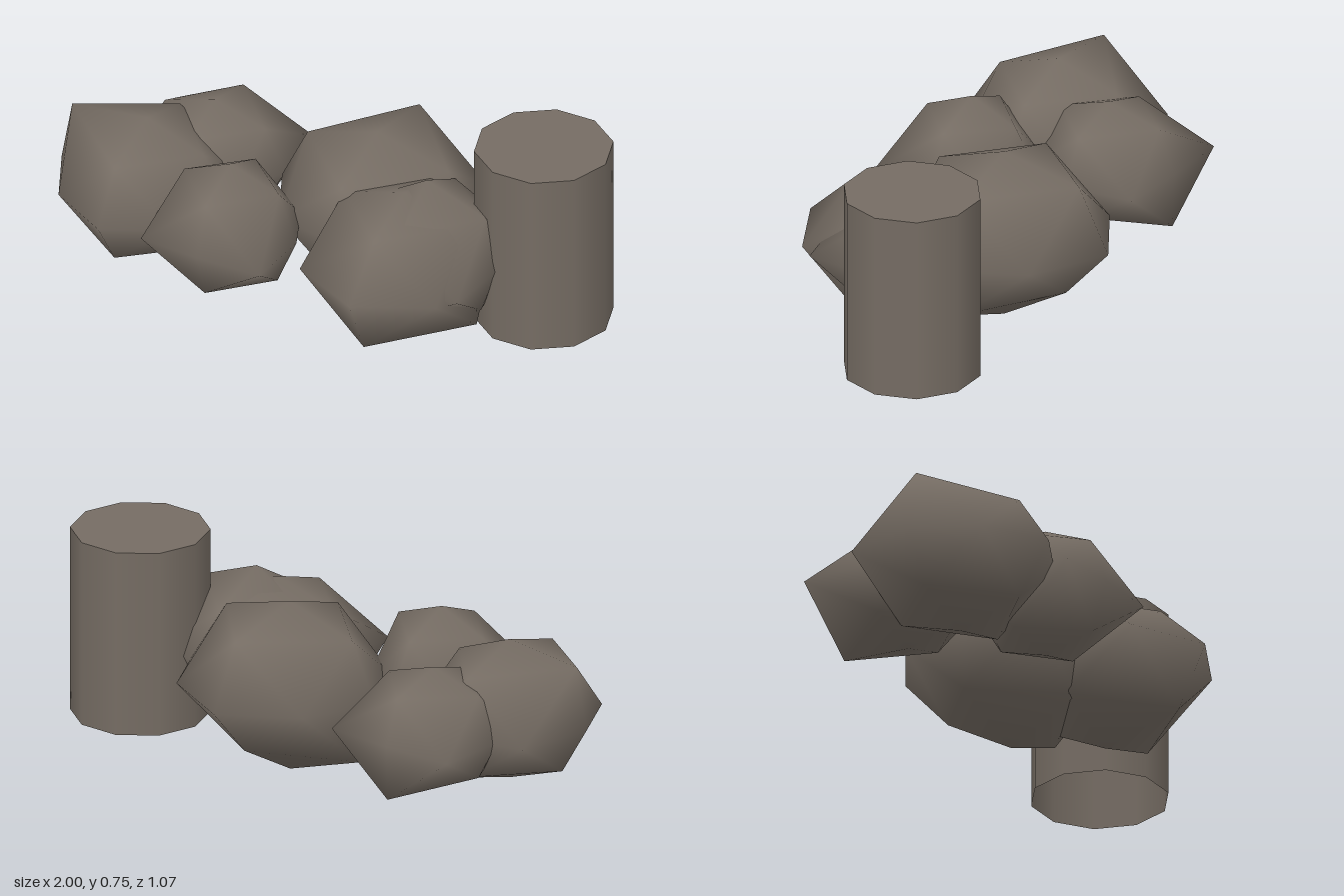
import * as THREE from 'three';
import { mergeVertices } from 'three/addons/utils/BufferGeometryUtils.js';

// Names of the 18 rock corners (six tips, twelve in between), as signs of x, y, z
const CORNERS = ['+00', '-00', '0+0', '0-0', '00+', '00-',
  '++0', '+-0', '-+0', '--0', '0++', '0+-', '0-+', '0--',
  '+0+', '+0-', '-0+', '-0-'];

const sign = (v) => (v > 0.1 ? '+' : v < -0.1 ? '-' : '0');

// Boulder: an 18-corner ball, flattened, with each corner pushed in or out
function rockGeometry(radius, height, push) {
  let geo = new THREE.OctahedronGeometry(1, 1);
  geo.deleteAttribute('uv');
  geo.deleteAttribute('normal');
  geo = mergeVertices(geo, 1e-3);
  const pos = geo.attributes.position;
  const v = new THREE.Vector3();
  for (let i = 0; i < pos.count; i++) {
    v.fromBufferAttribute(pos, i);
    const s = push[CORNERS.indexOf(sign(v.x) + sign(v.y) + sign(v.z))];
    pos.setXYZ(i, v.x * radius * s, v.y * height * s, v.z * radius * s);
  }
  geo.computeVertexNormals();
  return geo;
}

// Place, size and corner pushes, in the order of CORNERS
const ROCKS = [
  { name: 'outerRock', at: [-0.66, 0.345, 0.15], r: 0.34, h: 0.26,
    push: [1, 1, 1, 1, 1.06, 1, 0.93, 1.05, 1.24, 0.97, 1, 1, 1, 1, 1, 1, 0.95, 1.15] },
  { name: 'backRock', at: [0.11, 0.345, -0.11], r: 0.42, h: 0.315,
    push: [1, 0.9, 0.92, 1.08, 0.74, 1.02, 0.95, 1, 0.93, 1.06, 0.9, 1.04, 0.9, 0.86, 0.9, 0.95, 0.85, 0.9] },
  { name: 'smallFrontRock', at: [-0.27, 0.345, 0.26], r: 0.255, h: 0.24,
    push: [1.02, 1, 1.04, 0.94, 0.98, 1.12, 1.06, 1.03, 1.02, 1.18, 1.02, 1, 1.05, 1, 1.38, 1, 1.28, 1] },
  { name: 'smallBackRock', at: [-0.545, 0.345, -0.13], r: 0.28, h: 0.215,
    push: [1, 1, 1, 1, 1, 0.96, 1, 1, 1, 1, 1, 1.05, 1, 1.32, 1, 1.28, 1, 1.34] },
  { name: 'largeFrontRock', at: [0.35, 0.345, 0.13], r: 0.39, h: 0.29,
    push: [0.72, 0.74, 0.85, 1.05, 1.04, 0.8, 0.88, 1.03, 0.87, 0.98, 0.82, 0.9, 1.09, 0.9, 0.98, 0.85, 0.98, 0.75] },
  { name: 'innerRock', at: [0.41, 0.345, 0.08], r: 0.28, h: 0.24,
    push: [1, 1, 1.2, 0.95, 0.95, 1, 1.17, 1.08, 1, 1.25, 1, 1.05, 1, 1, 1.31, 1.25, 0.9, 0.9] },
];

export function createModel() {
  const group = new THREE.Group();
  const stone = new THREE.MeshStandardMaterial({ color: 0x756c63, side: THREE.DoubleSide });
  stone.name = 'stone';

  for (const { name, at, r, h, push } of ROCKS) {
    const rock = new THREE.Mesh(rockGeometry(r, h, push), stone);
    rock.name = name;
    rock.position.set(...at);
    group.add(rock);
  }

  // Ten-sided pillar, open underneath
  const pillar = new THREE.Group();
  pillar.name = 'pillar';
  pillar.position.set(0.755, 0, -0.137);
  const wall = new THREE.Mesh(new THREE.CylinderGeometry(0.245, 0.245, 0.685, 10, 1, true), stone);
  wall.name = 'pillarWall';
  wall.position.y = 0.4125;
  wall.rotation.y = Math.PI / 2;
  const cap = new THREE.Mesh(new THREE.CircleGeometry(0.245, 10), stone);
  cap.name = 'pillarTop';
  cap.position.y = 0.755;
  cap.rotation.x = -Math.PI / 2;
  pillar.add(wall, cap);
  group.add(pillar);

  return group;
}
